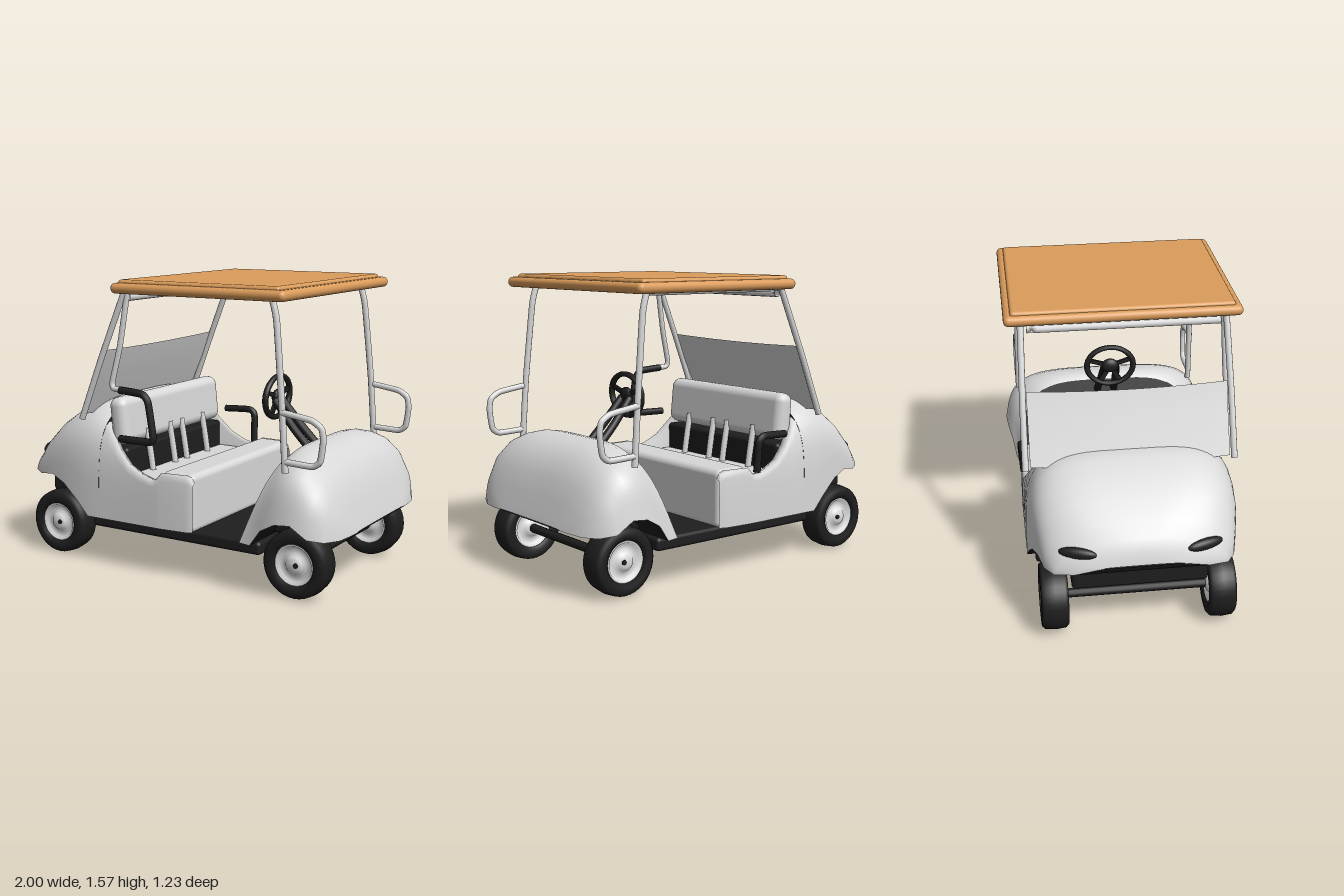
import * as THREE from 'three';
import { RoundedBoxGeometry } from 'three/addons/geometries/RoundedBoxGeometry.js';

const material = (name, color) => {
  const m = new THREE.MeshStandardMaterial({ color, side: THREE.DoubleSide });
  m.name = name;
  return m;
};

export function createModel() {
  const cart = new THREE.Group();
  cart.name = 'golfCart';
  const paint = material('lightGreyPaint', 0xd8d8d8);
  const dark = material('blackTrim', 0x1e1e1e);
  const tan = material('tanRoof', 0xdb9c5b);
  const white = material('wheelWhite', 0xe0e0e0);

  const add = (name, geometry, mat, x = 0, y = 0, z = 0) => {
    const mesh = new THREE.Mesh(geometry, mat);
    mesh.name = name;
    mesh.position.set(x, y, z);
    cart.add(mesh);
    return mesh;
  };
  const block = (name, mat, x0, x1, y0, y1, halfZ, r = 0.02) =>
    add(name, new RoundedBoxGeometry(x1 - x0, y1 - y0, halfZ * 2, 3, r), mat, (x0 + x1) / 2, (y0 + y1) / 2, 0);
  const tube = (name, mat, radius, points) => {
    const curve = new THREE.CatmullRomCurve3(points.map((p) => new THREE.Vector3(...p)), false, 'catmullrom', 0.25);
    return add(name, new THREE.TubeGeometry(curve, points.length * 8, radius, 10), mat);
  };

  // Skin stretched over rows of equally many points
  const loft = (rows) => {
    const n = rows[0].length, index = [];
    for (let i = 0; i < rows.length - 1; i++) {
      for (let j = 0; j < n - 1; j++) {
        const a = i * n + j, b = a + n;
        index.push(a, b, a + 1, a + 1, b, b + 1);
      }
    }
    const g = new THREE.BufferGeometry();
    g.setAttribute('position', new THREE.Float32BufferAttribute(rows.flat(2), 3));
    g.setIndex(index);
    g.computeVertexNormals();
    return g;
  };

  // Arched hood from stations [bottom x, top x, half width, bottom y, top y, width power, height power]
  const hood = (name, stations, flare, innerEnd) => {
    const rows = stations.map(([xb, xt, w, yb, yt, p = 0.5, q = 0.5]) => {
      const row = [];
      for (let i = 0; i <= 40; i++) {
        const a = (i / 40) * Math.PI, c = Math.cos(a);
        const h = i % 40 === 0 ? 0 : Math.sin(a) ** q;
        const z = w * (1 - flare * h) * Math.sign(c) * Math.abs(c) ** p;
        row.push([xb + (xt - xb) * h, yb + (yt - yb) * h, z]);
      }
      return row;
    });
    add(name, loft(rows), paint);
    add(name + 'Underside', loft(rows.map((r) => [r[0], r[40]])), dark);
    const end = rows[innerEnd];
    add(name + 'Bulkhead', loft([end, end.map((v) => [end[0][0], end[0][1], v[2]])]), dark);
  };

  hood('rearBody', [
    [-1, -1, 0.2, 0.505, 0.51, 0.8, 0.9], [-0.985, -0.985, 0.34, 0.47, 0.575, 0.9, 1.2],
    [-0.95, -0.95, 0.44, 0.455, 0.635, 0.9, 1.2], [-0.88, -0.88, 0.485, 0.45, 0.70, 0.7, 0.9],
    [-0.78, -0.78, 0.512, 0.465, 0.77, 0.55, 0.65], [-0.68, -0.68, 0.535, 0.43, 0.83, 0.5, 0.5],
    [-0.58, -0.58, 0.548, 0.35, 0.875, 0.5, 0.45], [-0.5, -0.5, 0.555, 0.27, 0.9, 0.5, 0.45],
    [-0.42, -0.42, 0.555, 0.27, 0.87, 0.5, 0.45],
  ], 0, 8);
  hood('frontCowl', [
    [0.46, 0.63, 0.545, 0.27, 0.72], [0.53, 0.66, 0.56, 0.27, 0.745],
    [0.60, 0.70, 0.58, 0.36, 0.75], [0.69, 0.76, 0.602, 0.41, 0.74],
    [0.78, 0.82, 0.608, 0.42, 0.715], [0.87, 0.885, 0.6, 0.36, 0.66],
    [0.94, 0.935, 0.55, 0.345, 0.57], [0.98, 0.965, 0.46, 0.34, 0.47],
    [0.995, 0.99, 0.36, 0.342, 0.39], [1, 1, 0.3, 0.344, 0.35],
  ], 0.09, 0);

  // Scooped side walls beside the seat, leaning in with the rear body
  const wall = [[-0.42, 0.79], [-0.36, 0.73], [-0.3, 0.66], [-0.23, 0.59], [-0.15, 0.55], [-0.08, 0.53],
    [-0.05, 0.535], [-0.02, 0.57], [0.13, 0.572], [0.16, 0.56], [0.17, 0.53]];
  const lean = (y) => (1 - ((y - 0.27) / 0.6) ** 4.44) ** 0.25;
  for (const s of [-1, 1]) {
    add('sideWall', loft(wall.map(([x, y]) => {
      const w = x > 0.1 ? 0.555 - (x - 0.1) * 0.4 : 0.555;
      const row = [0, 0.25, 0.5, 0.7, 0.85, 0.96].map((f) => {
        const h = 0.27 + f * (y - 0.27);
        return [x, h, s * w * lean(h)];
      });
      const top = w * lean(y);
      row.push([x, y, s * (top - 0.015)], [x, y - 0.01, s * (top - 0.05)], [x, 0.27, s * (w - 0.08)]);
      return row;
    })), paint);
  }

  // Seat
  block('seatBase', paint, -0.03, 0.172, 0.26, 0.575, 0.525, 0.035);
  block('seatPan', paint, -0.3, 0, 0.4, 0.51, 0.49);
  block('seatWell', dark, -0.42, -0.28, 0.27, 0.66, 0.48);
  block('seatBack', paint, -0.4, -0.29, 0.67, 0.93, 0.485, 0.05).rotation.z = 0.1;
  for (const z of [-0.28, -0.06, 0.06, 0.28]) {
    tube('seatBackBracket', paint, 0.018, [[-0.29, 0.74, z], [-0.265, 0.6, z], [-0.25, 0.5, z]]);
  }

  // Floor and underside
  block('floor', dark, -0.5, 0.56, 0.205, 0.275, 0.51);
  add('floorKeel', loft([[-0.53, 0.2], [-0.1, 0.18], [0.1, 0.178], [0.56, 0.205]].map(([x, y]) =>
    [[x, 0.21, -0.45], [x, y, -0.38], [x, y - 0.012, 0], [x, y, 0.38], [x, 0.21, 0.45]])), dark);
  block('rearChassis', dark, -0.91, -0.48, 0.32, 0.465, 0.35);
  block('frontChassis', dark, 0.5, 0.85, 0.29, 0.43, 0.35);
  block('pedal', dark, 0.485, 0.54, 0.39, 0.48, 0.08);

  // Wheels and axles
  const tyre = [[0.108, -0.06], [0.13, -0.072], [0.16, -0.07], [0.175, -0.055], [0.181, 0], [0.175, 0.055],
    [0.16, 0.07], [0.13, 0.072], [0.108, 0.06], [0.108, -0.06]].map((p) => new THREE.Vector2(...p));
  const hub = [[0.112, 0.055], [0.1, 0.062], [0.09, 0.045], [0.06, 0.042], [0.045, 0.06], [0.025, 0.068], [0, 0.07]]
    .map((p) => new THREE.Vector2(...p));
  for (const x of [-0.755, 0.748]) {
    add('axle', new THREE.CylinderGeometry(0.024, 0.024, 0.84, 12), dark, x, 0.186, 0).rotation.x = Math.PI / 2;
    for (const s of [-1, 1]) {
      const put = (name, g, mat, side) => {
        add(name, g, mat, x, 0.186, s * 0.436).rotation.x = (side * s * Math.PI) / 2;
      };
      put('tyre', new THREE.LatheGeometry(tyre, 36), dark, 1);
      put('wheelHub', new THREE.LatheGeometry(hub, 28), white, 1);
      put('innerWheelHub', new THREE.LatheGeometry(hub, 28), white, -1);
      add('hubCap', new THREE.CylinderGeometry(0.013, 0.013, 0.008, 12), dark, x + 0.015, 0.188, s * 0.505)
        .rotation.x = Math.PI / 2;
    }
  }

  // Roof and frame
  block('roof', tan, -0.285, 0.74, 1.5, 1.555, 0.615, 0.027);
  block('roofPanel', tan, -0.255, 0.695, 1.53, 1.572, 0.58, 0.018);
  tube('rearCrossbar', paint, 0.02, [[-0.25, 1.475, -0.5], [-0.25, 1.475, 0.5]]);
  tube('roofRail', paint, 0.014, [[-0.24, 1.5, -0.5], [0.62, 1.5, -0.5]]);
  for (const s of [-1, 1]) {
    const z = s * 0.525;
    tube('frontPost', paint, 0.017, [[0.62, 1.5, s * 0.505], [0.645, 1.4, s * 0.507], [0.685, 1, s * 0.52], [0.71, 0.66, z]]);
    tube('frontGrabLoop', paint, 0.016, [[0.685, 0.96, z], [0.85, 0.935, z], [0.905, 0.9, z], [0.915, 0.84, z],
      [0.9, 0.74, z], [0.86, 0.71, z], [0.71, 0.715, z]]);
    tube('rearPost', paint, 0.017, [[-0.25, 1.5, s * 0.53], [-0.4, 1.14, s * 0.54], [-0.53, 0.81, s * 0.545]]);
  }
  tube('innerRearPost', paint, 0.016, [[-0.235, 1.5, 0.52], [-0.28, 1.22, 0.53], [-0.325, 1.03, 0.54],
    [-0.315, 0.995, 0.545], [-0.26, 0.99, 0.55]]);
  tube('leftArmrest', dark, 0.02, [[-0.27, 0.99, 0.55], [-0.13, 0.98, 0.55], [-0.09, 0.94, 0.55], [-0.06, 0.76, 0.55],
    [-0.08, 0.73, 0.55], [-0.28, 0.725, 0.54]]);
  tube('rightArmrest', dark, 0.02, [[-0.28, 0.725, -0.54], [-0.12, 0.73, -0.55], [-0.085, 0.7, -0.55], [-0.08, 0.54, -0.54]]);

  // Leaning rear panel
  const panelRows = [[-0.385, 1.19], [-0.44, 1.04], [-0.535, 0.83]].map(([x, y]) => {
    const row = [];
    for (let i = 0; i <= 16; i++) {
      const t = i / 8 - 1;
      row.push([x - 0.015 * (1 - t * t), y - 0.01 * (1 - t * t), t * 0.52]);
    }
    return row;
  });
  add('rearPanel', loft(panelRows), paint);

  // Steering wheel and column
  const steering = new THREE.Group();
  steering.name = 'steeringWheel';
  const rim = new THREE.Mesh(new THREE.TorusGeometry(0.135, 0.017, 10, 36), dark);
  rim.name = 'steeringRim';
  const boss = new THREE.Mesh(new THREE.SphereGeometry(0.05, 16, 10), dark);
  boss.name = 'steeringBoss';
  boss.scale.z = 0.5;
  steering.add(rim, boss);
  for (const a of [0.35, Math.PI - 0.35, -1.1, Math.PI + 1.1]) {
    const spoke = new THREE.Mesh(new THREE.BoxGeometry(0.13, 0.028, 0.016), dark);
    spoke.name = 'steeringSpoke';
    spoke.position.set(Math.cos(a) * 0.07, Math.sin(a) * 0.07, 0);
    spoke.rotation.z = a;
    steering.add(spoke);
  }
  steering.position.set(0.376, 0.935, 0);
  steering.rotation.set(0, Math.PI / 2, -0.06, 'ZYX');
  steering.scale.y = 0.83;
  cart.add(steering);
  for (const s of [-1, 1]) {
    tube('steeringColumn', dark, 0.022, [[0.38, 0.92, s * 0.035], [0.5, 0.78, s * 0.045], [0.64, 0.64, s * 0.05]]);
  }

  // Tail lights
  for (const s of [-1, 1]) {
    const lamp = add('tailLight', new THREE.SphereGeometry(1, 20, 12), dark, -0.937, 0.567, s * 0.32);
    lamp.scale.set(0.03, 0.032, 0.1);
    lamp.rotation.y = s * 0.33;
  }
  return cart;
}
